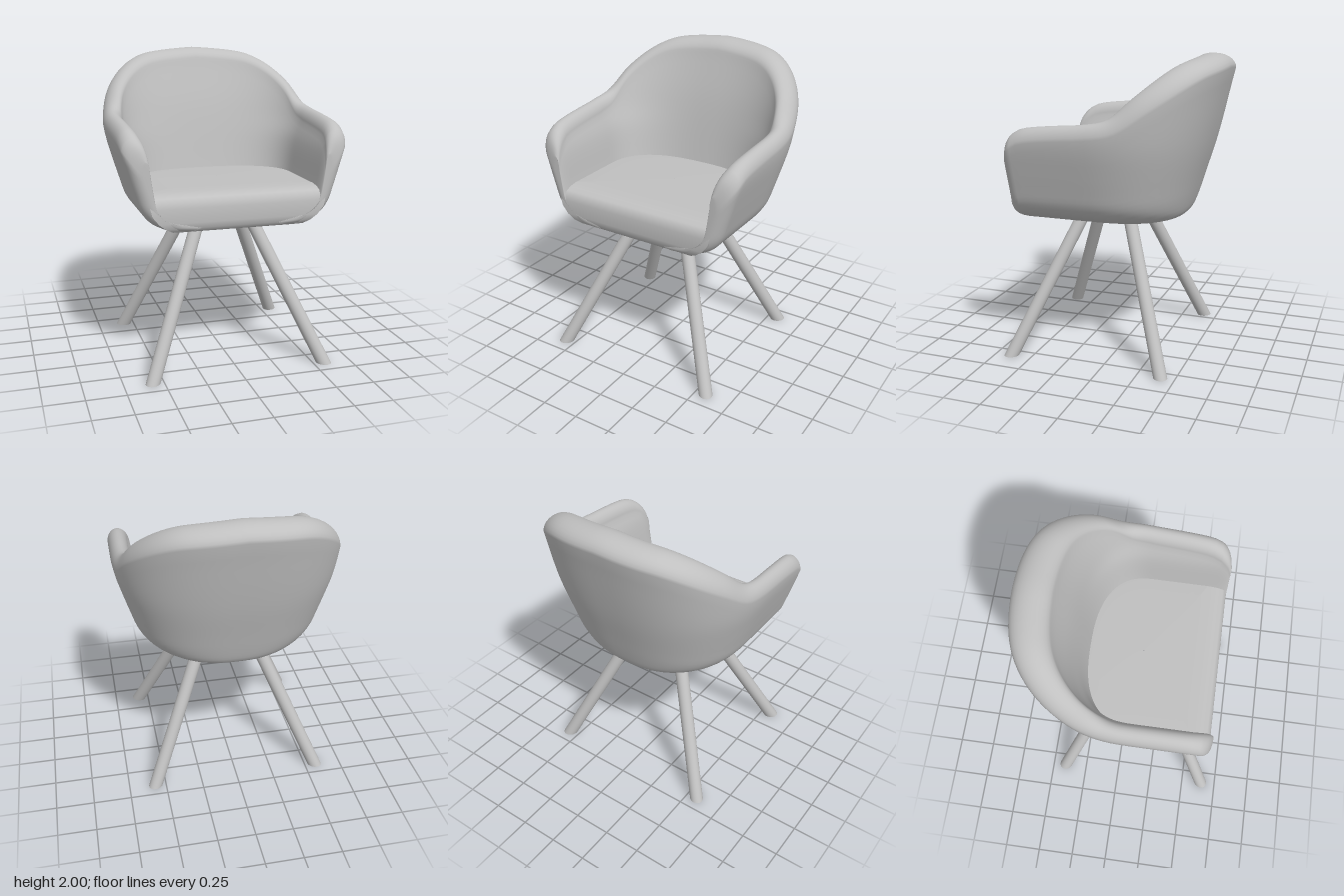
import * as THREE from 'three';

const V = (x, y, z) => new THREE.Vector3(x, y, z);
const FRONT = 0.61, ARC_Z = 0.1;

// smooth lookup through [input, value] pairs
function curve(pts) {
  const slope = (i) => {
    const a = pts[Math.max(i - 1, 0)], b = pts[Math.min(i + 1, pts.length - 1)];
    return (b[1] - a[1]) / (b[0] - a[0]);
  };
  return (x) => {
    x = THREE.MathUtils.clamp(x, pts[0][0], pts[pts.length - 1][0]);
    let i = 0;
    while (i < pts.length - 2 && x > pts[i + 1][0]) i++;
    const d = pts[i + 1][0] - pts[i][0], t = (x - pts[i][0]) / d, t2 = t * t, t3 = t2 * t;
    return (2 * t3 - 3 * t2 + 1) * pts[i][1] + (t3 - 2 * t2 + t) * d * slope(i)
      + (3 * t2 - 2 * t3) * pts[i + 1][1] + (t3 - t2) * d * slope(i + 1);
  };
}

// half-width and back position of the shell by height
const outerW = curve([[0.93, 0.32], [0.94, 0.42], [0.96, 0.48], [1, 0.55], [1.07, 0.605], [1.17, 0.64],
  [1.3, 0.68], [1.45, 0.722], [1.6, 0.745], [2, 0.79]]);
const outerB = curve([[0.93, -0.36], [0.945, -0.4], [0.97, -0.425], [1.05, -0.455], [1.2, -0.5],
  [1.4, -0.56], [1.6, -0.61], [1.8, -0.655], [2, -0.705]]);
const innerW = curve([[0.93, 0.25], [1, 0.46], [1.1, 0.515], [1.17, 0.53], [1.4, 0.568], [1.55, 0.62], [2, 0.72]]);
const innerB = curve([[0.93, -0.2], [1.17, -0.25], [1.6, -0.34], [1.9, -0.43], [2, -0.46]]);
// rim height along the arm (by z) and round the back (by angle)
const armTop = curve([[0.1, 1.6], [0.25, 1.588], [0.4, 1.572], [0.49, 1.552], [0.55, 1.512], [0.59, 1.455], [0.61, 1.38]]);
const backTop = curve([[0, 1.6], [0.27, 1.64], [0.55, 1.765], [0.82, 1.87], [1.03, 1.935], [1.2, 1.968], [1.5708, 2]]);

// rounded U in plan: right arm, curved back, left arm
function planPoint(st, w, b, y, front = null) {
  if (st.a === undefined) {
    const z = front === null ? st.z : ARC_Z + (st.z - ARC_Z) / (FRONT - ARC_Z) * (front - ARC_Z);
    return V(st.side * w, y, z);
  }
  const c = Math.cos(st.a), s = Math.sin(st.a);
  return V(Math.sign(c) * w * Math.abs(c) ** 0.8, y, ARC_Z - (ARC_Z - b) * s ** 0.8);
}

function makeStations() {
  const arm = [];
  const R = 0.08;
  for (let i = 8; i >= 0; i--) {            // rounded front end
    const t = i / 8 * Math.PI / 2;
    arm.push({ z: FRONT - R + R * Math.sin(t), inset: R * (1 - Math.cos(t)) });
  }
  for (let i = 1; i < 9; i++) arm.push({ z: FRONT - R - (FRONT - R - ARC_Z) * i / 9, inset: 0 });
  const right = arm.map((p) => ({ ...p, side: 1 }));
  const left = arm.map((p) => ({ ...p, side: -1 })).reverse();
  const arc = [];
  for (let i = 0; i <= 56; i++) arc.push({ a: Math.PI * i / 56, inset: 0 });
  return [...right, ...arc, ...left];
}

// surface from rows of points
function gridGeometry(rows, wrapRows, wrapCols, extra = []) {
  const n = rows.length, m = rows[0].length, index = [];
  for (let i = 0; i < (wrapRows ? n : n - 1); i++) {
    for (let j = 0; j < (wrapCols ? m : m - 1); j++) {
      const i2 = (i + 1) % n, j2 = (j + 1) % m;
      const a = i * m + j, b = i2 * m + j, c = i2 * m + j2, d = i * m + j2;
      index.push(a, b, c, a, c, d);
    }
  }
  index.push(...extra);
  const g = new THREE.BufferGeometry().setFromPoints(rows.flat());
  g.setIndex(index);
  g.computeVertexNormals();
  return g;
}

// padded wall forming arms and back
function shellGeometry(stations) {
  const H = 20, C = 14;
  const rows = stations.map((st) => {
    const h = st.a === undefined ? armTop(st.z) : backTop(Math.min(st.a, Math.PI - st.a));
    const crown = 0.09, yr = h - crown, e = st.inset;
    const lift = (y) => y + e * 0.45 * THREE.MathUtils.clamp((1.1 - y) / 0.17, 0, 1);
    const outer = (y) => planPoint(st, outerW(y) - e, outerB(y), lift(y));
    const inner = (y) => planPoint(st, innerW(y) + e * 0.15, innerB(y), lift(y));
    const loop = [];
    for (let i = 0; i <= H; i++) loop.push(outer(0.93 + (yr - 0.93) * (i / H) ** 2));
    const o = outer(yr), n = inner(yr);
    for (let i = 1; i < C; i++) {
      const t = Math.PI * i / C;
      const p = o.clone().lerp(n, (1 - Math.cos(t)) / 2);
      p.y += crown * Math.sin(t);
      loop.push(p);
    }
    for (let i = H; i >= 0; i--) loop.push(inner(0.96 + (yr - 0.96) * (i / H) ** 1.5));
    return loop;
  });
  // end caps of the arms
  const m = rows[0].length, last = (rows.length - 1) * m, caps = [];
  for (let i = 0; i < Math.floor(m / 2); i++) {
    const a = i, b = i + 1, c = m - 2 - i, d = m - 1 - i;
    caps.push(a, b, c, a, c, d);
    caps.push(last + a, last + c, last + b, last + a, last + d, last + c);
  }
  return gridGeometry(rows, false, true, caps);
}

// seat cushion stacked from [height, half-width, back, front] outlines
function cushionGeometry(stations) {
  const layers = [
    [0.931, 0.001, 0.09, 0.11], [0.931, 0.36, -0.33, 0.555], [0.941, 0.42, -0.35, 0.585],
    [0.965, 0.465, -0.37, 0.603], [1, 0.51, -0.38, 0.61], [1.05, 0.55, -0.38, 0.61],
    [1.09, 0.56, -0.37, 0.609], [1.125, 0.565, -0.35, 0.602], [1.15, 0.565, -0.33, 0.582],
    [1.165, 0.56, -0.31, 0.545], [1.172, 0.555, -0.3, 0.49], [1.176, 0.4, -0.2, 0.4], [1.178, 0.001, 0.09, 0.11],
  ];
  const rings = layers.map(([y, w, b, f]) => {
    const ring = stations.map((st) => planPoint(st, w, b, y, f));
    for (let i = 1; i < 16; i++) ring.push(V(-w + 2 * w * i / 16, y, f));
    return ring;
  });
  // columns run upward, rows run round the outline
  const rows = rings[0].map((_, i) => rings.map((r) => r[i]));
  return gridGeometry(rows, true, false);
}

// slanted round leg with level ends
function legGeometry(foot, top) {
  const r = 0.044, axis = top.clone().sub(foot);
  const flat = V(axis.x, 0, axis.z);
  const major = flat.clone().normalize().multiplyScalar(r * axis.length() / axis.y);
  const minor = flat.clone().normalize().cross(V(0, 1, 0)).multiplyScalar(r);
  const g = new THREE.CylinderGeometry(1, 1, 1, 28).translate(0, 0.5, 0);
  return g.applyMatrix4(new THREE.Matrix4().makeBasis(major, axis, minor).setPosition(foot));
}

export function createModel() {
  const grey = new THREE.MeshStandardMaterial({ color: 0xc0c0c0 });
  grey.name = 'plain grey';
  const model = new THREE.Group();
  model.name = 'armchair';
  const add = (name, geometry) => {
    const mesh = new THREE.Mesh(geometry, grey);
    mesh.name = name;
    model.add(mesh);
  };

  const stations = makeStations();
  add('backAndArms', shellGeometry(stations));
  add('seatCushion', cushionGeometry(stations));
  for (const [side, s] of [['Left', 1], ['Right', -1]]) {
    add('front' + side + 'Leg', legGeometry(V(s * 0.57, 0, 0.64), V(s * 0.165, 0.95, 0.25)));
    add('back' + side + 'Leg', legGeometry(V(s * 0.57, 0, -0.405), V(s * 0.165, 0.95, -0.055)));
  }
  return model;
}
